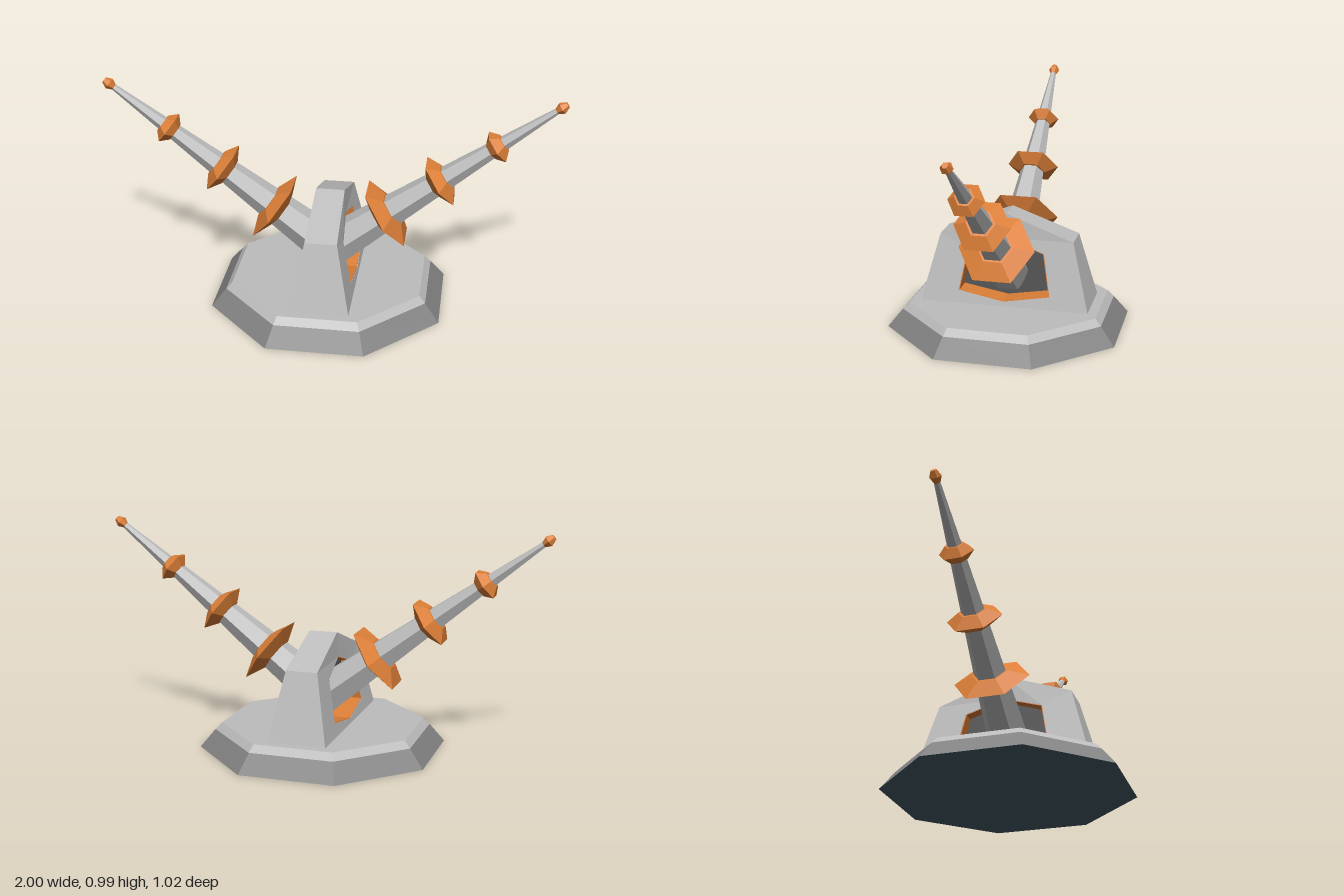
import * as THREE from 'three';

const mat = (name, color) => {
  const m = new THREE.MeshStandardMaterial({ color, flatShading: true });
  m.name = name;
  return m;
};

export function createModel() {
  const lightGrey = mat('lightGrey', 0xbdbdbd);
  const midGrey = mat('midGrey', 0x848484);
  const darkGrey = mat('darkGrey', 0x575757);
  const orange = mat('orange', 0xdc7f38);
  const slate = mat('slate', 0x455a64);

  const root = new THREE.Group();
  root.name = 'twinArmPylon';

  const add = (parent, name, geometry, material) => {
    const flat = geometry.index ? geometry.toNonIndexed() : geometry;
    flat.computeVertexNormals();
    const mesh = new THREE.Mesh(flat, material);
    mesh.name = name;
    parent.add(mesh);
    return mesh;
  };
  const vectors = (pts) => pts.map(([x, y]) => new THREE.Vector2(x, y));

  // Octagonal base, measured across its flats
  const octagon = (pts) => new THREE.LatheGeometry(
    vectors(pts.map(([r, y]) => [r / Math.cos(Math.PI / 8), y])), 8, Math.PI / 8);
  add(root, 'baseUnderside', octagon([[0, 0], [0.51, 0]]), slate);
  add(root, 'baseSkirt', octagon([[0.51, 0], [0.447, 0.08]]), midGrey);
  add(root, 'baseTop', octagon([[0.447, 0.08], [0.42, 0.11], [0, 0.11]]), lightGrey);

  // Tower: side outline with a hexagonal opening, narrowing towards the top
  const halfWidth = (y) => (y < 0.41
    ? THREE.MathUtils.mapLinear(y, 0.11, 0.41, 0.13, 0.07)
    : THREE.MathUtils.mapLinear(y, 0.41, 0.52, 0.07, 0.064));
  const tapered = (outline, opening, scale) => {
    const shape = new THREE.Shape(vectors(outline));
    shape.holes.push(new THREE.Path(vectors(opening)));
    const g = new THREE.ExtrudeGeometry(shape, { depth: 1, bevelEnabled: false });
    g.rotateY(Math.PI / 2);
    const p = g.attributes.position;
    for (let i = 0; i < p.count; i++) {
      p.setX(i, (p.getX(i) * 2 - 1) * halfWidth(p.getY(i)) * scale);
    }
    return g;
  };
  const hexagon = [[0, 0.13], [0.206, 0.166], [0.172, 0.352], [0, 0.41],
    [-0.172, 0.352], [-0.206, 0.166]];
  const inner = hexagon.map(([z, y]) => [z * 0.98, 0.27 + (y - 0.27) * 0.98]);
  const outline = [[-0.378, 0.11], [0.378, 0.11], [0.3, 0.41], [0, 0.52], [-0.3, 0.41]];
  add(root, 'tower', tapered(outline, hexagon, 1), lightGrey);
  add(root, 'openingLiner', tapered(hexagon, inner, 0.985), orange);

  // Dark wall closing the opening between the two arms
  const wall = new THREE.ExtrudeGeometry(new THREE.Shape(vectors(hexagon)),
    { depth: 0.06, bevelEnabled: false });
  wall.rotateY(Math.PI / 2).translate(-0.03, 0, 0);
  add(root, 'recessWall', wall, darkGrey);

  // Arms: six-sided tapering rods with bevelled discs, one to each side
  const lean = 0.65;
  const armLength = 1.22;
  const discs = [
    { at: 0.315, r: 0.167, neck: 0.08, half: 0.036 },
    { at: 0.605, r: 0.121, neck: 0.062, half: 0.036 },
    { at: 0.9, r: 0.075, neck: 0.04, half: 0.034 },
    { at: armLength, r: 0.026, neck: 0.013, half: 0.027 },
  ];
  for (const side of [1, -1]) {
    const arm = new THREE.Group();
    arm.name = side > 0 ? 'leftArm' : 'rightArm';
    arm.position.set(0, 0.228, 0);
    arm.rotation.z = -side * (Math.PI / 2 - lean);
    root.add(arm);
    add(arm, 'rod', new THREE.LatheGeometry(
      vectors([[0, 0], [0.094, 0], [0.012, armLength], [0, armLength]]), 6), lightGrey);
    discs.forEach(({ at, r, neck, half }, i) => {
      const profile = [[0, at - half], [neck, at - half], [r, at], [neck, at + half], [0, at + half]];
      add(arm, i < 3 ? `disc${i + 1}` : 'tip', new THREE.LatheGeometry(vectors(profile), 6), orange);
    });
  }
  return root;
}
